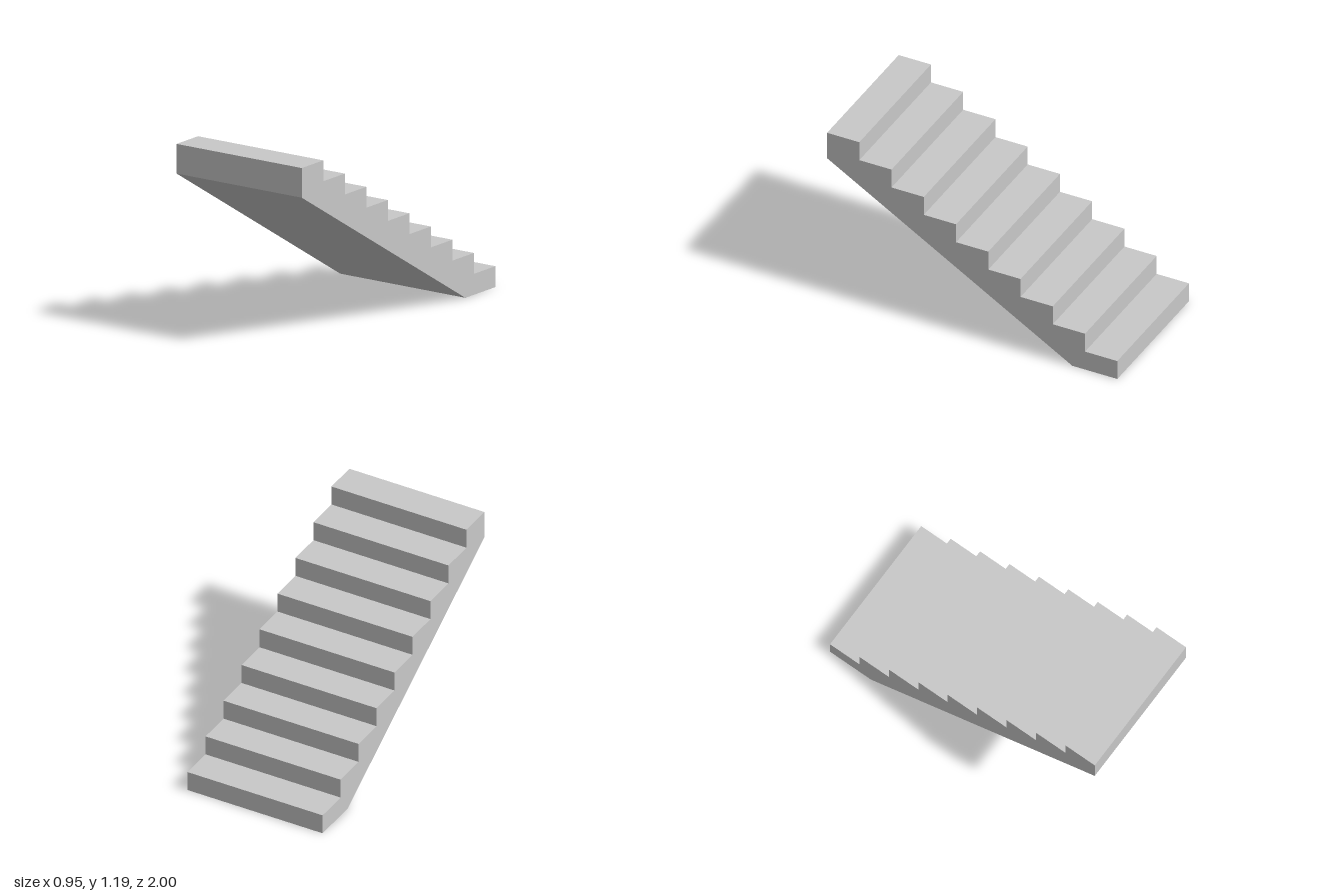
import * as THREE from 'three';

const STEPS = 9;
const LENGTH = 2;
const HEIGHT = 1.193;
const WIDTH = 0.95;

export function createModel() {
  const group = new THREE.Group();
  group.name = 'staircase';

  const concrete = new THREE.MeshStandardMaterial({ color: 0xc8c8c8 });
  concrete.name = 'light grey concrete';

  // Side profile: horizontal axis is z, climbing towards the front
  const run = LENGTH / STEPS;
  const rise = HEIGHT / STEPS;
  const profile = new THREE.Shape();
  profile.moveTo(-0.69, 0);
  profile.lineTo(1, 1.005); // sloping underside
  for (let i = STEPS; i > 0; i--) {
    const back = -LENGTH / 2 + (i - 1) * run;
    profile.lineTo(back + run, i * rise); // riser
    profile.lineTo(back, i * rise); // tread
  }
  profile.lineTo(-1, 0);
  profile.closePath();

  // Extrude across the width and turn the profile into the yz plane
  const geometry = new THREE.ExtrudeGeometry(profile, { depth: WIDTH, bevelEnabled: false });
  geometry.translate(0, 0, -WIDTH / 2);
  geometry.rotateY(-Math.PI / 2);

  const flight = new THREE.Mesh(geometry, concrete);
  flight.name = 'stairFlight';
  group.add(flight);
  return group;
}
